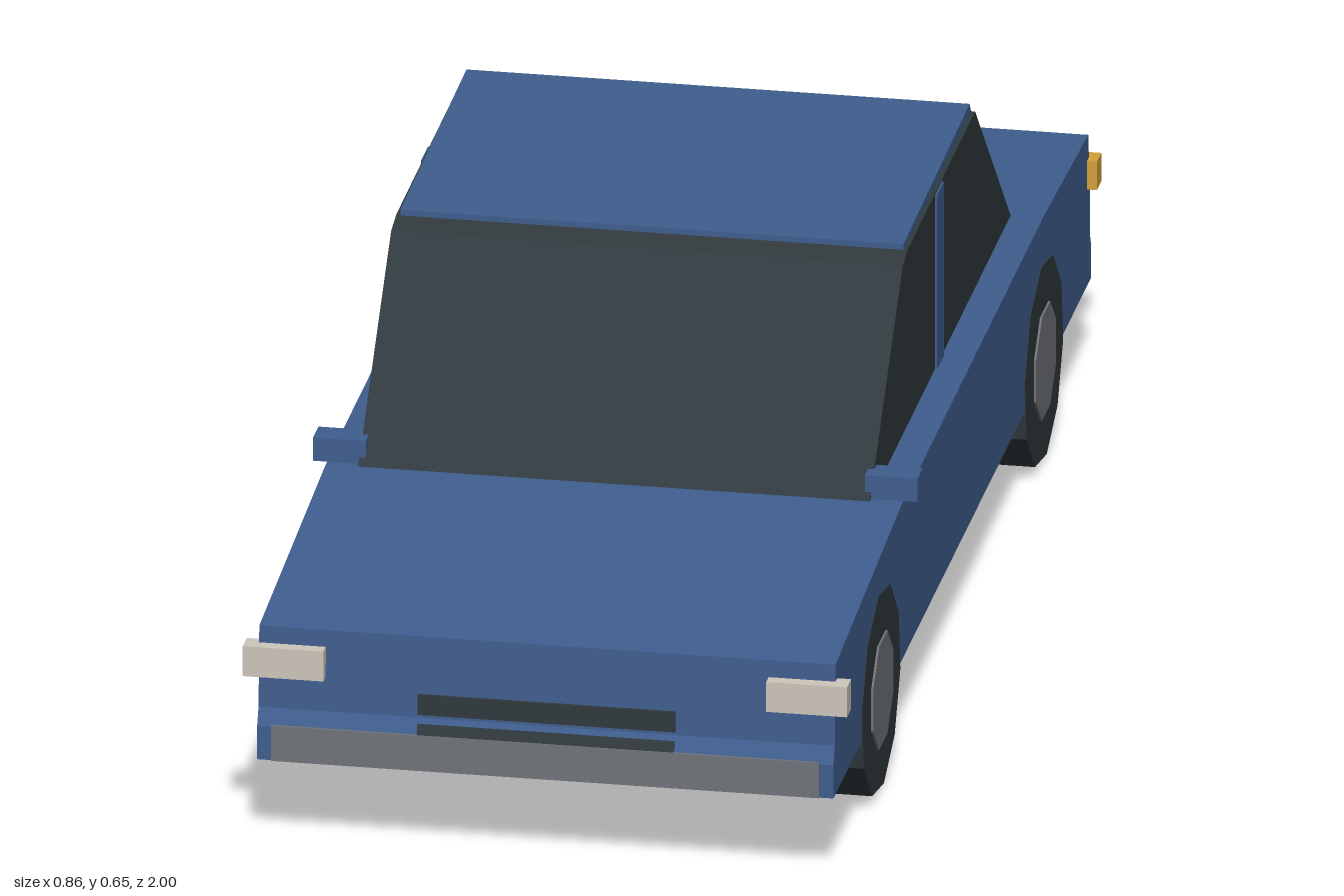
import * as THREE from 'three';

const paint = (name, color) => {
  const m = new THREE.MeshStandardMaterial({ color });
  m.name = name;
  return m;
};

export function createModel() {
  const car = new THREE.Group();
  car.name = 'car';
  const blue = paint('body blue', 0x3f5e8f);
  const dark = paint('glass and rubber', 0x30393d);
  const grey = paint('hub and bumper grey', 0x70747a);
  const white = paint('headlight white', 0xcec7bb);
  const amber = paint('tail light amber', 0xd6a03c);

  const add = (name, geometry, material) => {
    const mesh = new THREE.Mesh(geometry, material);
    mesh.name = name;
    car.add(mesh);
    return mesh;
  };

  // Side profile of [z, y] points, extruded across the car from x0 to x1
  const across = (name, points, x0, x1, material) => {
    const shape = new THREE.Shape(points.map(([z, y]) => new THREE.Vector2(-z, y)));
    const g = new THREE.ExtrudeGeometry(shape, { depth: x1 - x0, bevelEnabled: false });
    g.rotateY(Math.PI / 2).translate(x0, 0, 0);
    return add(name, g, material);
  };

  // Box given by its limits on each axis
  const block = (name, [x0, x1], [y0, y1], [z0, z1], material) => {
    const g = new THREE.BoxGeometry(x1 - x0, y1 - y0, z1 - z0);
    g.translate((x0 + x1) / 2, (y0 + y1) / 2, (z0 + z1) / 2);
    return add(name, g, material);
  };

  const ring = (z, y, radius, sides, start) => Array.from({ length: sides }, (_, i) => {
    const a = start + (i / sides) * Math.PI * 2;
    return [z + radius * Math.cos(a), y + radius * Math.sin(a)];
  });

  // Lower body
  across('body', [
    [0.997, 0.13], [0.997, 0.18], [0.986, 0.205], [0.98, 0.325], [0.47, 0.365],
    [-0.63, 0.367], [-0.975, 0.354], [-0.99, 0.25], [-0.99, 0.195], [-0.997, 0.18], [-0.997, 0.13],
  ], -0.41, 0.41, blue);

  // Glasshouse and roof
  across('cabinGlass', [
    [0.47, 0.36], [0.21, 0.62], [0.17, 0.629], [-0.35, 0.632], [-0.63, 0.362],
  ], -0.364, 0.364, dark);
  across('roof', [
    [0.172, 0.622], [0.172, 0.637], [-0.34, 0.647], [-0.352, 0.63],
  ], -0.358, 0.358, blue);

  // Grille slots and bumpers
  block('upperGrille', [-0.183, 0.183], [0.21, 0.24], [0.982, 0.989], dark);
  across('lowerGrille', [
    [0.986, 0.183], [0.998, 0.183], [0.993, 0.197], [0.986, 0.197],
  ], -0.183, 0.183, dark);
  block('frontBumper', [-0.39, 0.39], [0.13, 0.183], [0.992, 1], grey);
  block('rearBumper', [-0.39, 0.39], [0.14, 0.188], [-1, -0.992], grey);

  for (const side of [-1, 1]) {
    const span = (a, b) => (side > 0 ? [a, b] : [-b, -a]);
    const label = side > 0 ? 'left' : 'right';

    // Lights, mirror and door pillar
    block(label + 'Headlight', span(0.315, 0.43), [0.255, 0.3], [0.968, 1], white);
    block(label + 'TailLight', span(0.31, 0.424), [0.275, 0.318], [-1, -0.966], amber);
    block(label + 'Mirror', span(0.355, 0.43), [0.365, 0.4], [0.413, 0.455], blue);
    block(label + 'Pillar', span(0.36, 0.367), [0.362, 0.628], [-0.092, -0.038], blue);

    // Wheels
    for (const [end, z] of [['Front', 0.632], ['Rear', -0.628]]) {
      across(label + end + 'Tyre', ring(z, 0.15, 0.15, 10, THREE.MathUtils.degToRad(-98)),
        ...span(0.31, 0.411), dark);
      across(label + end + 'Hub', ring(z, 0.15, 0.084, 8, Math.PI / 8),
        ...span(0.38, 0.414), grey);
    }
  }
  return car;
}
